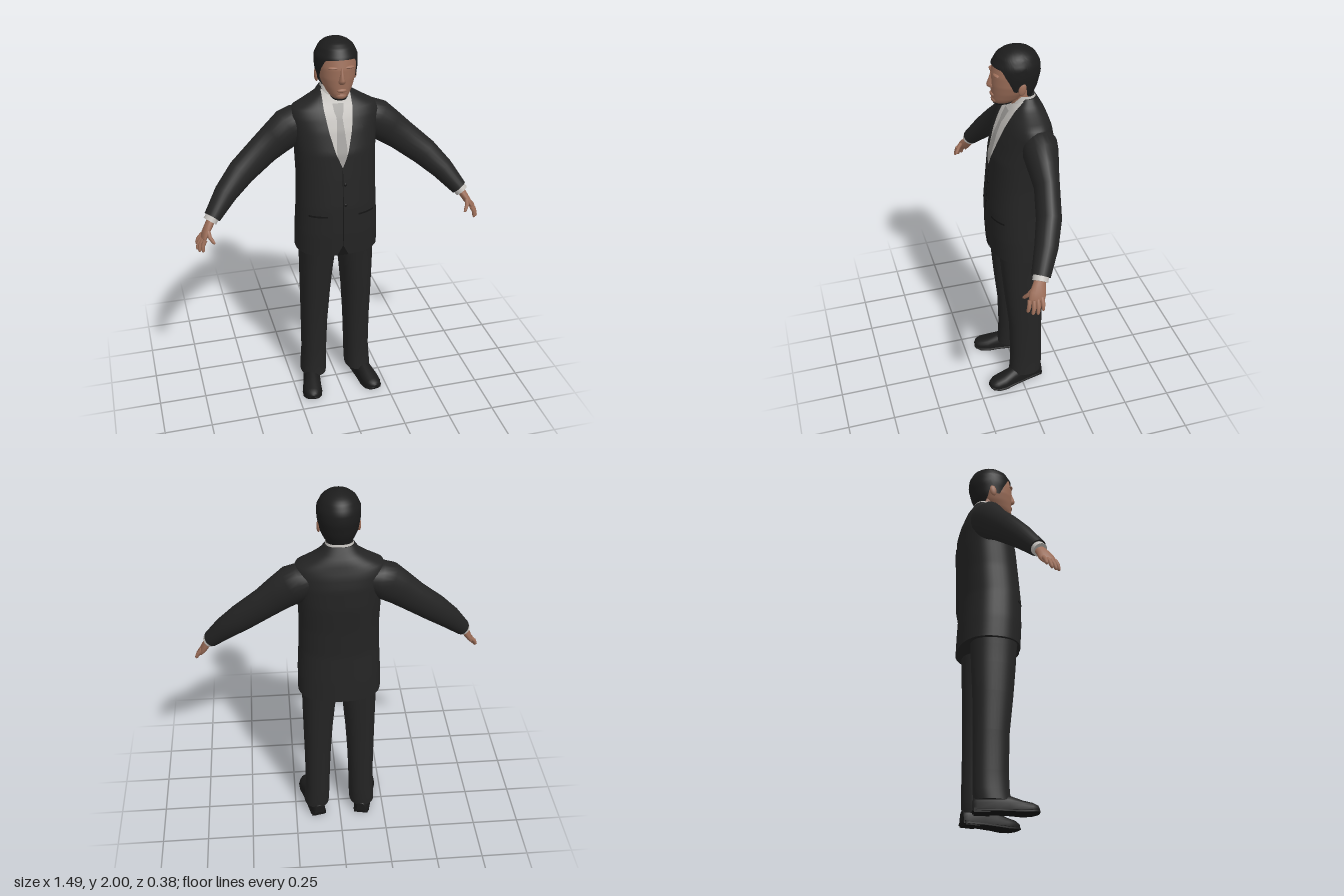
import * as THREE from 'three';

const V = (x, y, z) => new THREE.Vector3(x, y, z);
const mat = (name, color) => Object.assign(
  new THREE.MeshStandardMaterial({ color, side: THREE.DoubleSide }), { name });

// Linear lookup in a table whose rows start with y
function at(table, y) {
  let i = 0;
  while (i < table.length - 2 && y > table[i + 1][0]) i++;
  const a = table[i], b = table[i + 1];
  const t = THREE.MathUtils.clamp((y - a[0]) / (b[0] - a[0]), 0, 1);
  return a.map((v, k) => v + (b[k] - v) * t);
}

// Closed skin through rings of points, with flat end caps
function loft(rings, caps = true) {
  const n = rings[0].length, pts = rings.flat(), idx = [];
  for (let r = 0; r < rings.length - 1; r++) for (let i = 0; i < n; i++) {
    const a = r * n + i, b = r * n + (i + 1) % n;
    idx.push(a, b, a + n, b, b + n, a + n);
  }
  if (caps) [rings[0], rings[rings.length - 1]].forEach((ring, e) => {
    const o = pts.length, c = V(0, 0, 0);
    ring.forEach(p => c.addScaledVector(p, 1 / n));
    pts.push(...ring.map(p => p.clone()), c);
    for (let i = 0; i < n; i++) {
      const a = o + i, b = o + (i + 1) % n;
      e ? idx.push(a, b, o + n) : idx.push(b, a, o + n);
    }
  });
  // Turn the faces outward whichever way the rings run
  const mid = V(0, 0, 0);
  pts.forEach(p => mid.addScaledVector(p, 1 / pts.length));
  let vol = 0;
  for (let i = 0; i < idx.length; i += 3) {
    const [a, b, c] = [0, 1, 2].map(k => pts[idx[i + k]].clone().sub(mid));
    vol += a.dot(b.cross(c));
  }
  if (vol < 0) idx.reverse();
  const g = new THREE.BufferGeometry().setFromPoints(pts);
  g.setIndex(idx);
  g.computeVertexNormals();
  return g;
}

// Horizontal rounded ring: centre x, half width, front z, back z
function ring(y, cx, rx, zf, zb, p = 2.4, n = 40) {
  const pw = v => Math.sign(v) * Math.abs(v) ** (2 / p);
  return Array.from({ length: n }, (_, i) => {
    const a = i / n * Math.PI * 2;
    return V(cx + rx * pw(Math.cos(a)), y, (zf + zb) / 2 + (zf - zb) / 2 * pw(Math.sin(a)));
  });
}

// Limb through rows of [x, y, z, thickness, depth], mirrored by s
function limb(rows, s, n = 16) {
  const c = rows.map(r => V(r[0] * s, r[1], r[2]));
  return loft(rows.map((r, i) => {
    const t = c[Math.min(i + 1, c.length - 1)].clone().sub(c[Math.max(i - 1, 0)]).normalize();
    const A = V(0, 0, 1).addScaledVector(t, -t.z).normalize(), B = t.clone().cross(A);
    return Array.from({ length: n }, (_, k) => {
      const a = k / n * Math.PI * 2;
      return c[i].clone().addScaledVector(A, r[4] * Math.cos(a)).addScaledVector(B, r[3] * Math.sin(a));
    });
  }));
}

// Jacket and head profiles: y, half width, front z, back z
const JACKET = [[.88, .216, .138, -.18], [1, .214, .145, -.175], [1.15, .206, .145, -.166],
  [1.3, .202, .132, -.172], [1.44, .206, .118, -.184], [1.55, .216, .085, -.182],
  [1.61, .226, .06, -.168], [1.645, .21, .042, -.155], [1.68, .145, .022, -.142],
  [1.71, .097, .008, -.125], [1.745, .074, -.015, -.105]];
const HEAD = [[1.715, .022, .085, .02], [1.725, .04, .103, 0], [1.745, .056, .108, -.04], [1.78, .074, .11, -.07],
  [1.82, .087, .112, -.09], [1.87, .093, .112, -.11], [1.93, .09, .098, -.11], [1.965, .07, .06, -.08], [1.985, .03, .02, -.04]];
const HAIR = [[1.74, .07, .08, -.085], [1.8, .094, .1, -.112], [1.87, .105, .112, -.13], [1.92, .104, .108, -.126],
  [1.96, .085, .085, -.105], [1.98, .062, .058, -.08], [1.993, .034, .025, -.045], [2, .001, -.01, -.011]];

// Thin plate lying on the jacket front between two edge rules
function panel(y0, y1, left, right, lift, rows = 24, cols = 10) {
  const pts = [], idx = [];
  for (let j = 0; j <= rows; j++) for (let i = 0; i <= cols; i++) {
    const y = y0 + (y1 - y0) * j / rows, [, rx, zf, zb] = at(JACKET, y);
    const x = left(y) + (right(y) - left(y)) * i / cols, t = Math.min(Math.abs(x) / rx, .97);
    pts.push(V(x, y, (zf + zb) / 2 + (zf - zb) / 2 * (1 - t ** 2.4) ** (1 / 2.4) + lift));
    if (i < cols && j < rows) {
      const a = j * (cols + 1) + i, b = a + cols + 1;
      idx.push(a, a + 1, b, a + 1, b + 1, b);
    }
  }
  const g = new THREE.BufferGeometry().setFromPoints(pts);
  g.setIndex(idx);
  g.computeVertexNormals();
  return g;
}

export function createModel() {
  const root = new THREE.Group();
  root.name = 'suitedMan';
  const suit = mat('suitCloth', 0x242424), seam = mat('seam', 0x151515), hairM = mat('hair', 0x1c1c1c),
    shoeM = mat('shoeLeather', 0x1b1b1b), skin = mat('skin', 0x9c6e59),
    shirt = mat('shirt', 0xc2bfbb), tieM = mat('tie', 0x9f9d9a);
  const add = (name, geo, m, parent = root) => {
    const mesh = new THREE.Mesh(geo, m);
    mesh.name = name;
    parent.add(mesh);
    return mesh;
  };
  const ball = (name, m, x, y, z, sx, sy, sz) => {
    const b = add(name, new THREE.SphereGeometry(1, 16, 12), m);
    b.position.set(x, y, z);
    b.scale.set(sx, sy, sz);
    return b;
  };

  // Jacket body
  const body = Array.from({ length: 53 }, (_, i) => at(JACKET, .88 + .865 * i / 52));
  add('jacket', loft(body.map(([y, rx, f, b]) => ring(y, 0, rx, f, b, 2.4, 56))), suit);

  // Shirt front, tie and lapels
  const OPEN = [[1.37, 0], [1.45, .033], [1.55, .058], [1.65, .073], [1.735, .072]];
  const TIE = [[1.37, .018], [1.46, .027], [1.62, .014], [1.63, .022], [1.68, .028]];
  const open = y => at(OPEN, y)[1], tie = y => Math.min(at(TIE, y)[1], open(y));
  add('shirtFront', panel(1.37, 1.735, y => -open(y), open, .004), shirt);
  add('tie', panel(1.375, 1.675, y => -tie(y), tie, .008), tieM);
  for (const s of [-1, 1]) {
    const wide = y => open(y) + at([[1.36, .006], [1.56, .06], [1.58, .04], [1.7, .015]], y)[1];
    add('lapel', panel(1.36, 1.7, y => s > 0 ? open(y) : -wide(y), y => s > 0 ? wide(y) : -open(y), .006), suit);
    add('pocketFlap', panel(1.105, 1.115, y => s > 0 ? .08 : -.17, y => s > 0 ? .17 : -.08, .003, 2), seam);
  }
  add('frontSeam', panel(.94, 1.37, () => -.002, () => .002, .003), seam);
  add('frontVent', panel(.88, .94, y => (y - .94) * .5, y => (.94 - y) * .5, .003), seam);
  for (const y of [1.17, 1.28]) ball('button', seam, .012, y, at(JACKET, y)[2] + .002, .008, .008, .004);
  add('shirtCollar', loft([ring(1.69, 0, .08, .018, -.112), ring(1.73, 0, .072, .008, -.107),
    ring(1.757, 0, .066, -.002, -.1)], false), shirt);

  // Neck and head
  add('neck', loft([[1.68, .06, .012, -.09], [1.74, .057, .02, -.088], [1.8, .06, .03, -.085]]
    .map(([y, r, f, b]) => ring(y, 0, r, f, b, 2))), skin);
  const skull = Array.from({ length: 37 }, (_, i) => at(HEAD, 1.715 + .27 * i / 36));
  add('head', loft(skull.map(([y, r, f, b]) => ring(y, 0, r, f, b, 2.1))), skin);
  add('chinBeard', loft([[1.709, .022, .085, .02], [1.715, .034, .099, .008], [1.723, .041, .105, 0]]
    .map(([y, r, f, b]) => ring(y, 0, r, f, b, 2.1))), hairM);
  add('nose', loft([[1.8, .014, .118], [1.81, .019, .131], [1.822, .015, .134], [1.85, .01, .123], [1.88, .009, .112]]
    .map(([y, r, f]) => ring(y, 0, r, f, .08, 2, 16))), skin);
  ball('lips', skin, 0, 1.767, .107, .024, .01, .01);
  ball('chin', skin, 0, 1.738, .092, .028, .018, .02);
  for (const s of [-1, 1]) {
    ball('ear', skin, s * .096, 1.815, -.015, .01, .032, .019).rotation.x = -.2;
    ball('brow', skin, s * .035, 1.878, .095, .03, .008, .015);
  }

  // Hair cap with a hairline that drops from forehead to nape
  const LINE = [[0, 1.918], [.75, 1.912], [1.05, 1.86], [1.3, 1.8], [1.55, 1.805], [1.75, 1.84], [2.0, 1.77], [2.4, 1.742], [3.15, 1.74]];
  add('hair', loft(Array.from({ length: 21 }, (_, j) => Array.from({ length: 64 }, (_, i) => {
    const a = i / 64 * Math.PI * 2, low = at(LINE, Math.min(a, Math.PI * 2 - a))[1];
    const y = low + (2 - low) * Math.sin(j / 20 * Math.PI / 2), [, r, f, b] = at(HAIR, y);
    return V(r * Math.sin(a), y, (f + b) / 2 + (f - b) / 2 * Math.cos(a));
  })), false), hairM);

  // Limbs, built once for each side
  for (const s of [1, -1]) {
    const side = s > 0 ? 'left' : 'right';
    const arm = new THREE.Group(), leg = new THREE.Group();
    arm.name = side + 'Arm';
    leg.name = side + 'Leg';
    root.add(arm, leg);

    // Sleeve and cuff
    add('sleeve', limb([[.13, 1.575, -.078, .06, .07], [.18, 1.56, -.075, .088, .085], [.225, 1.535, -.068, .1, .085],
      [.29, 1.487, -.062, .09, .072], [.36, 1.432, -.057, .081, .06], [.48, 1.335, -.03, .072, .06],
      [.57, 1.247, .01, .059, .056], [.65, 1.15, .06, .042, .046]], s, 24), suit, arm);
    add('shirtCuff', limb([[.64, 1.162, .054, .034, .038], [.664, 1.132, .068, .035, .038]], s, 20), shirt, arm);

    // Hand
    add('palm', limb([[.655, 1.142, .063, .02, .026], [.672, 1.115, .075, .02, .032], [.69, 1.085, .086, .018, .04],
      [.705, 1.058, .096, .013, .038], [.709, 1.051, .099, .006, .032]], s), skin, arm);
    const fingers = [[.7, 1.062, .128, .713, 1.003, .142], [.706, 1.06, .108, .73, .997, .122],
      [.707, 1.063, .089, .739, 1.0, .1], [.706, 1.07, .07, .738, 1.018, .075], [.68, 1.1, .11, .655, 1.045, .148]];
    fingers.forEach(([x, y, z, u, v, w], i) => {
      const rows = [[0, .011], [.45, .0105], [.85, .0085], [.97, .005], [1, .001]].map(([t, r]) =>
        [x + (u - x) * t + .008 * Math.sin(t * Math.PI), y + (v - y) * t, z + (w - z) * t, r, r]);
      add(i === 4 ? 'thumb' : 'finger', limb(rows, s, 10), skin, arm);
    });

    // Trouser leg
    add('trouserLeg', loft([[.93, .1, .1, .112, -.135], [.85, .102, .094, .102, -.132], [.75, .108, .087, .094, -.13],
      [.6, .114, .079, .08, -.124], [.4, .119, .071, .058, -.121], [.2, .122, .067, .052, -.122],
      [.11, .126, .069, .055, -.122], [.06, .129, .07, .06, -.116]]
      .map(([y, c, r, f, b]) => ring(y, s * c, r, f, b, 2.3))), suit, leg);

    // Shoe: dome-shaped slices from heel to toe, turned slightly outward
    const slices = (rows, grow) => loft(rows.map(([z, w, h, y0]) => Array.from({ length: 24 }, (_, i) => {
      const a = i / 24 * Math.PI * 2, up = Math.max(0, Math.sin(a));
      return V((w + grow) * Math.cos(a), y0 + h * up ** .7, z);
    })));
    const shoe = new THREE.Group();
    shoe.name = 'shoe';
    shoe.position.set(s * .15, 0, .032);
    shoe.rotation.y = s * .2;
    leg.add(shoe);
    add('upper', slices([[-.155, .026, .06, .014], [-.135, .039, .08, .014], [-.05, .043, .085, .014], [.02, .046, .072, .014],
      [.08, .051, .052, .012], [.125, .046, .042, .012], [.15, .03, .03, .012], [.158, .012, .018, .012]], 0), shoeM, shoe);
    add('sole', slices([[-.157, .028, .018, .006], [-.135, .04, .018, .006], [-.05, .043, .018, .006], [.02, .046, .016, .004],
      [.08, .051, .018, 0], [.125, .046, .017, .002], [.152, .03, .015, .006], [.16, .012, .012, .008]], .004), seam, shoe);
    add('heel', new THREE.BoxGeometry(.078, .02, .075), seam, shoe).position.set(0, .01, -.112);
  }
  return root;
}
